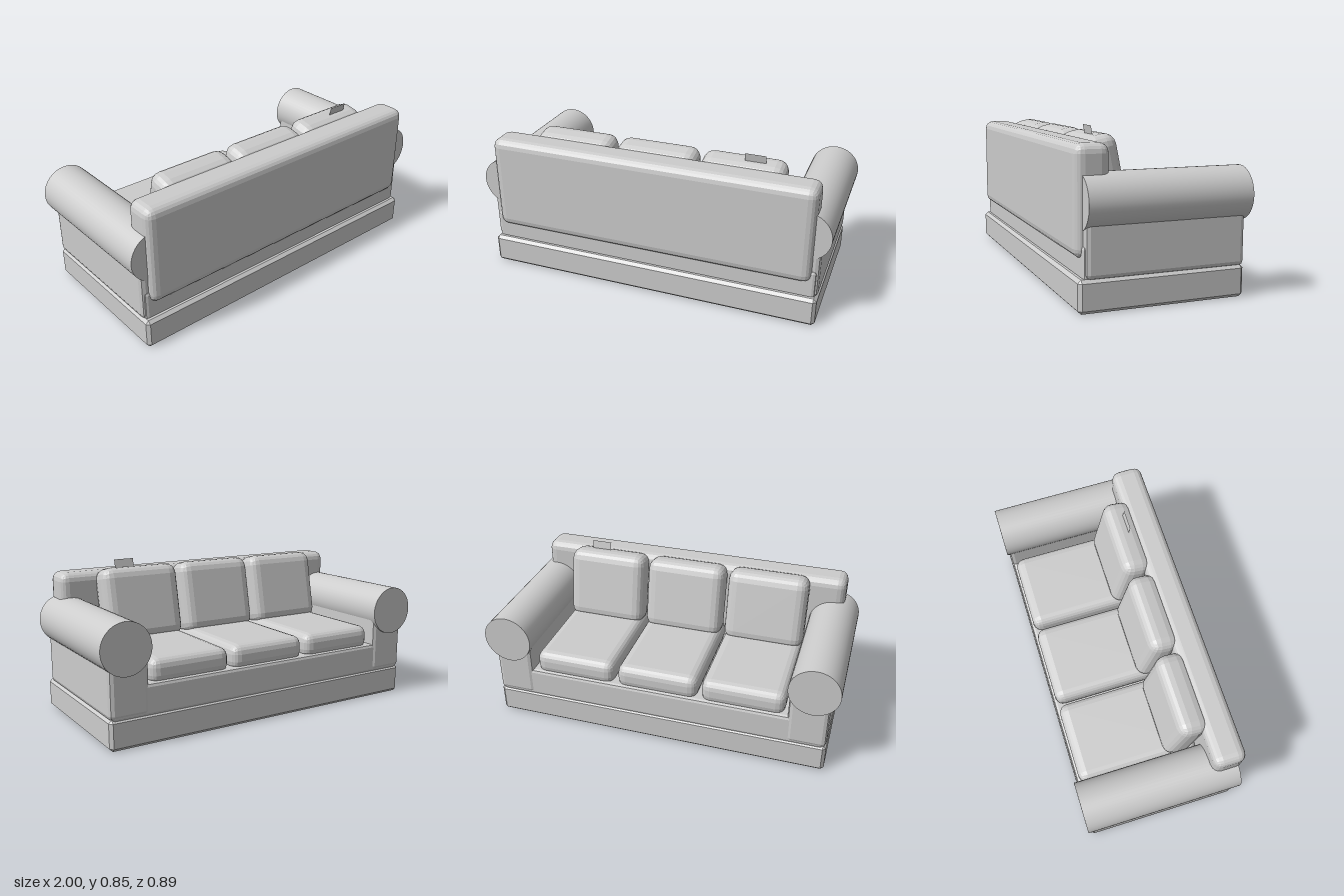
import * as THREE from 'three';
import { RoundedBoxGeometry } from 'three/addons/geometries/RoundedBoxGeometry.js';
import { ConvexGeometry } from 'three/addons/geometries/ConvexGeometry.js';

// Box given by its limits, with edges rounded in flat facets
function softBox([x0, x1], [y0, y1], [z0, z1], radius, segments) {
  const geo = new RoundedBoxGeometry(x1 - x0, y1 - y0, z1 - z0, segments, radius);
  geo.computeVertexNormals();
  geo.translate((x0 + x1) / 2, (y0 + y1) / 2, (z0 + z1) / 2);
  return geo;
}

// Box with a single chamfer on every edge
function chamferBox(w, h, d, c) {
  const half = [w / 2, h / 2, d / 2];
  const points = [];
  for (const sx of [-1, 1]) for (const sy of [-1, 1]) for (const sz of [-1, 1]) {
    for (let axis = 0; axis < 3; axis++) {
      const p = half.map((v, i) => (i === axis ? v : v - c));
      points.push(new THREE.Vector3(p[0] * sx, p[1] * sy, p[2] * sz));
    }
  }
  return new ConvexGeometry(points);
}

export function createModel() {
  const sofa = new THREE.Group();
  sofa.name = 'sofa';
  const fabric = new THREE.MeshStandardMaterial({ color: 0xcccccc, side: THREE.DoubleSide });
  fabric.name = 'greyFabric';

  const add = (name, geo) => {
    const mesh = new THREE.Mesh(geo, fabric);
    mesh.name = name;
    sofa.add(mesh);
    return mesh;
  };

  // Plinth and seat frame
  add('base', chamferBox(1.91, 0.165, 0.873, 0.017)).position.set(0, 0.0825, 0.008);
  add('seatFrame', softBox([-0.94, 0.94], [0.15, 0.32], [-0.425, 0.415], 0.018, 1));

  // Backrest
  add('backrest', softBox([-0.915, 0.915], [0.25, 0.79], [0.267, 0.445], 0.048, 2));

  // Arms: an upright panel topped by a long roll
  for (const [side, label] of [[1, 'left'], [-1, 'right']]) {
    const xs = [0.735 * side, 0.953 * side].sort((a, b) => a - b);
    add(label + 'ArmPanel', softBox(xs, [0.158, 0.5], [-0.43, 0.408], 0.025, 1));
    const roll = new THREE.CylinderGeometry(0.1375, 0.1375, 0.855, 48);
    roll.rotateX(Math.PI / 2);
    add(label + 'ArmRoll', roll).position.set(0.8625 * side, 0.517, -0.0175);
  }

  // Three seat cushions with three leaning back cushions
  const lean = 0.2;
  for (const x of [-0.484, 0, 0.484]) {
    add('seatCushion', softBox([x - 0.231, x + 0.231], [0.295, 0.435], [-0.41, 0.28], 0.05, 2));
    const back = add('backCushion', softBox([-0.231, 0.231], [-0.21, 0.21], [-0.085, 0.085], 0.06, 2));
    back.position.set(x, 0.6, 0.197);
    back.rotation.x = lean;
  }

  // Small flat tag standing up from one back cushion
  const tag = add('tag', new THREE.PlaneGeometry(0.115, 0.07));
  tag.position.set(0.548, 0.815, 0.247);
  tag.rotation.x = lean;

  return sofa;
}
